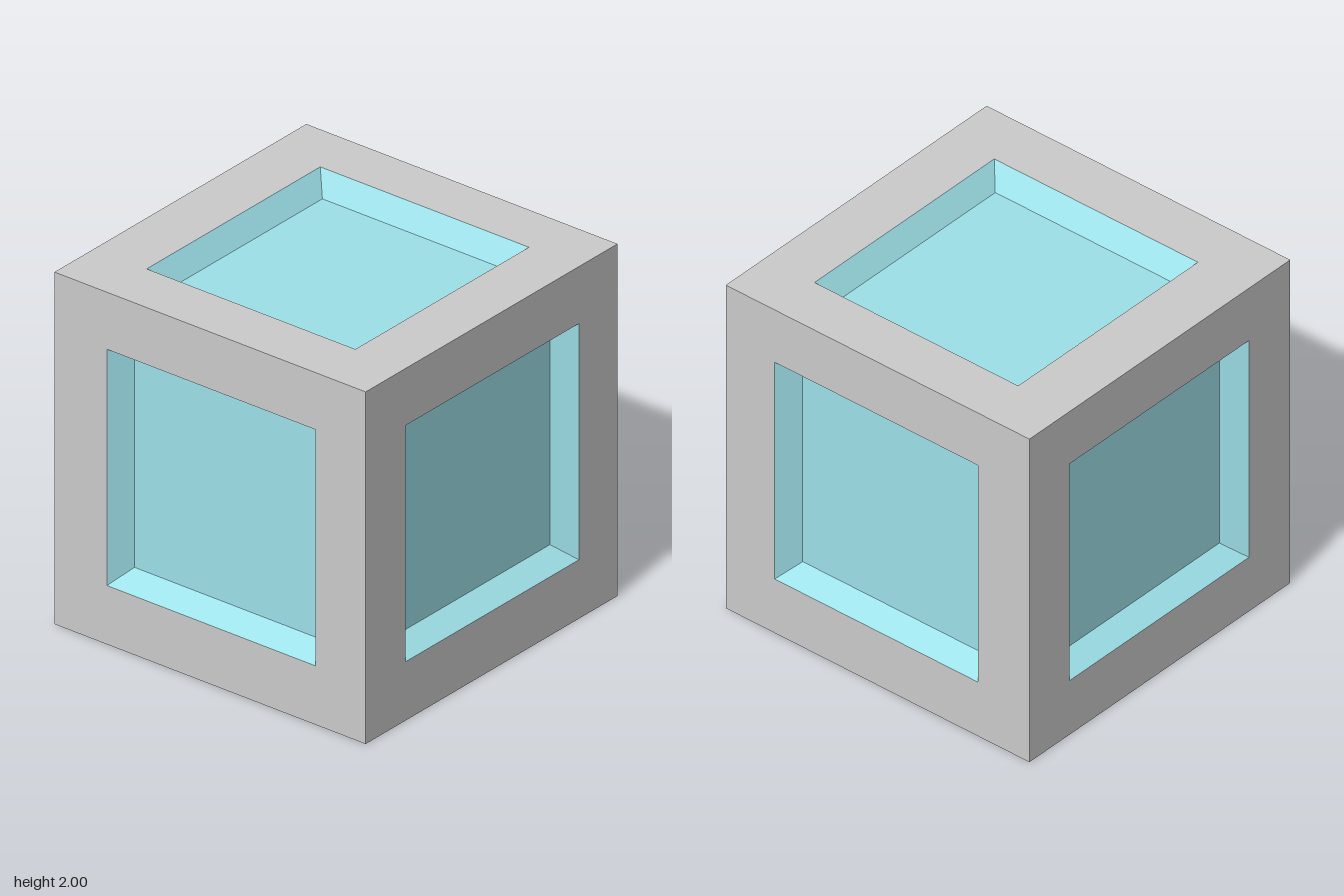
import * as THREE from 'three';

// [min, max] along x, y, z of the cube, the recess openings and the recess floors
const OUTER = [[-1, 1], [0, 2], [-1, 1]];
const OPENING = [[-0.663, 0.678], [0.334, 1.676], [-0.694, 0.684]];
const FLOOR = [[-0.583, 0.596], [0.414, 1.594], [-0.612, 0.596]];
const DEPTH = 0.12;

// Four corners of a rectangle on one cube side, anticlockwise seen from outside
function ring(axis, side, extents, inset) {
  const u = (axis + 1) % 3, v = (axis + 2) % 3;
  const level = OUTER[axis][side] + (side ? -inset : inset);
  const corners = [[0, 0], [1, 0], [1, 1], [0, 1]].map(([i, j]) => {
    const p = [0, 0, 0];
    p[axis] = level;
    p[u] = extents[u][i];
    p[v] = extents[v][j];
    return p;
  });
  return side ? corners : corners.reverse();
}

const quad = (a, b, c, d) => [a, b, c, a, c, d].flat();

// Four quads joining an outer ring to an inner one
const band = (outer, inner) => outer.flatMap((p, i) => {
  const j = (i + 1) % 4;
  return quad(p, outer[j], inner[j], inner[i]);
});

function makeMesh(name, positions, color) {
  const geometry = new THREE.BufferGeometry();
  geometry.setAttribute('position', new THREE.Float32BufferAttribute(positions, 3));
  geometry.computeVertexNormals();
  const mesh = new THREE.Mesh(geometry, new THREE.MeshStandardMaterial({ color }));
  mesh.name = name;
  return mesh;
}

export function createModel() {
  const group = new THREE.Group();
  group.name = 'panelledCube';
  const names = [['rightSide', 'leftSide'], ['bottom', 'top'], ['back', 'front']];
  names[0] = ['rightSide', 'leftSide']; // the model's own left is +x
  const frame = [];

  for (let axis = 0; axis < 3; axis++) {
    for (let side = 0; side < 2; side++) {
      const outer = ring(axis, side, OUTER, 0);
      const opening = ring(axis, side, OPENING, 0);
      const floor = ring(axis, side, FLOOR, DEPTH);

      // Flat border around the opening
      frame.push(...band(outer, opening));

      // Sloping walls and floor of the recess
      const recess = [...band(opening, floor), ...quad(...floor)];
      group.add(makeMesh(names[axis][side] + 'Recess', recess, 0x9ee1e9));
    }
  }
  group.add(makeMesh('frame', frame, 0xcccccc));
  return group;
}
